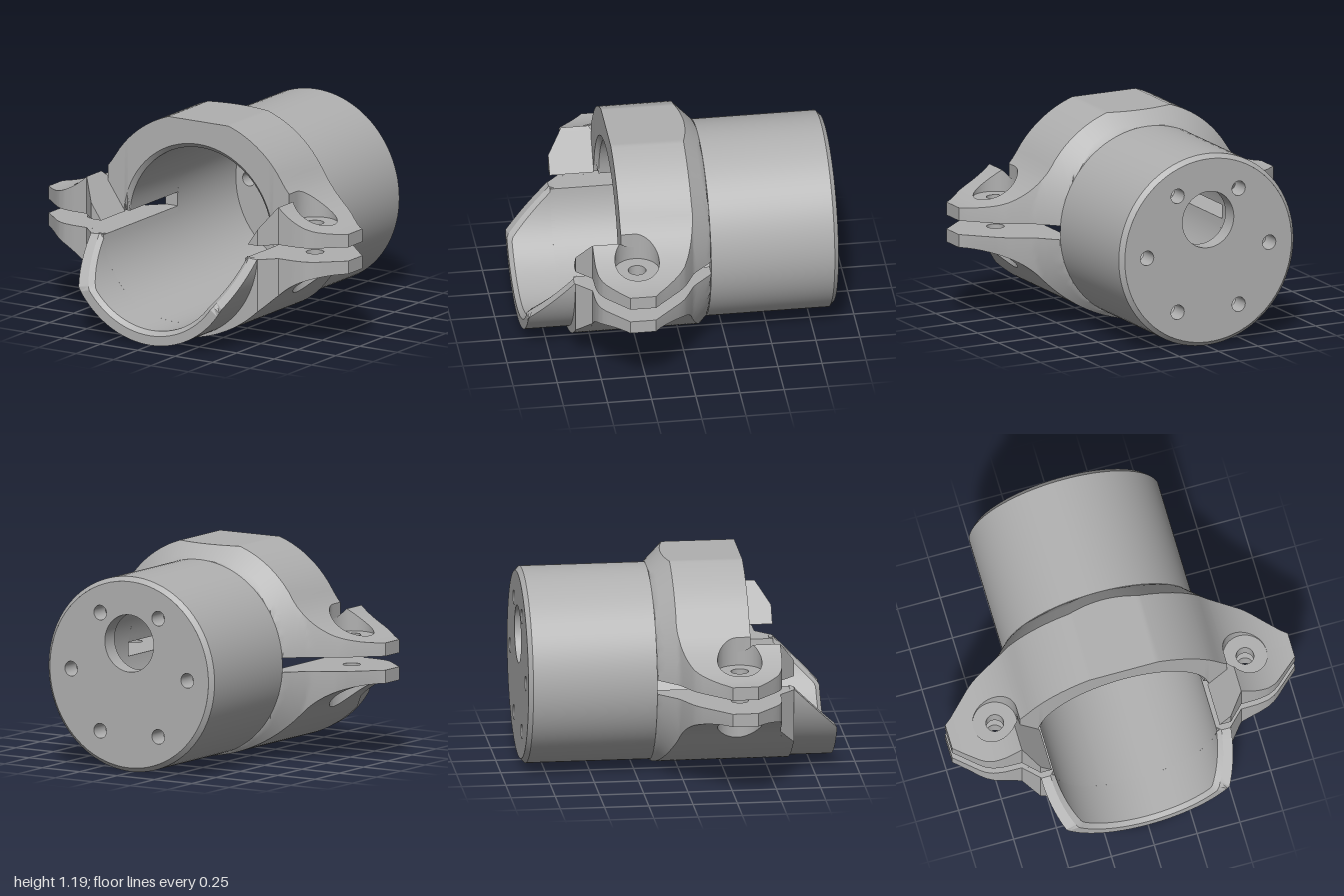
import * as THREE from 'three';
import { toCreasedNormals } from 'three/addons/utils/BufferGeometryUtils.js';

const CY = 0.557;                        // height of the bore axis
const R_OUT = 0.555, R_IN = 0.475, R_CH = 0.5;
const Z_RING = 0.37, Z_SCREW = 0.295, X_SCREW = 0.73, R_CB = 0.125;

const metal = new THREE.MeshStandardMaterial({ color: 0xb0b0b0, side: THREE.DoubleSide });
metal.name = 'grey metal';

// Smooth curved faces, sharp edges (scaled so that close vertices stay apart)
function crease(geo) {
  geo.scale(100, 100, 100);
  const g = toCreasedNormals(geo, 0.45);
  g.scale(0.01, 0.01, 0.01);
  return g;
}

// Solid skinned over equal-length closed cross-sections of [x, y, z]
function loft(sections) {
  const pos = [], n = sections[0].length;
  const tri = (a, b, c) => pos.push(...a, ...b, ...c);
  for (let i = 0; i < sections.length - 1; i++) {
    for (let j = 0; j < n; j++) {
      const k = (j + 1) % n, A = sections[i], B = sections[i + 1];
      tri(A[j], B[j], B[k]);
      tri(A[j], B[k], A[k]);
    }
  }
  const first = sections[0], last = sections[sections.length - 1];
  for (let j = 1; j < n - 1; j++) {
    tri(first[0], first[j], first[j + 1]);
    tri(last[0], last[j + 1], last[j]);
  }
  const g = new THREE.BufferGeometry();
  g.setAttribute('position', new THREE.Float32BufferAttribute(pos, 3));
  g.computeVertexNormals();
  return crease(g);
}

// Piecewise-linear lookup
function lerpTable(table, v) {
  if (v <= table[0][0]) return table[0][1];
  for (let i = 1; i < table.length; i++) {
    const [a, p] = table[i - 1], [b, q] = table[i];
    if (v <= b) return p + (q - p) * (v - a) / (b - a);
  }
  return table[table.length - 1][1];
}
const root = (v) => Math.sqrt(Math.max(0, v));

// Outer profiles: collar arc running into a concave ear arc
const topY = (x) => x < 0.555
  ? Math.min(1.19, 0.56 + root(0.661 ** 2 - x * x))
  : 1.205 - root(0.53 ** 2 - (1 - x) ** 2);
const bottomY = (x) => x < 0.606
  ? 0.816 - root(0.816 ** 2 - x * x)
  : -0.085 + root(0.53 ** 2 - (1 - x) ** 2);
// Ramp on the front blocks of the upper clamp
const rampY = (x) => Math.min(topY(x), 0.6 + 1.45 * (x - 0.49));
const boreTop = (x, r) => Math.max(0.6, CY + root(r * r - x * x));
const boreBottom = (x) => Math.min(0.52, CY - root(R_IN * R_IN - x * x));

// Plan outlines of the ears
const rearZ = (rho) => lerpTable([[R_OUT, -0.15], [0.67, -0.035], [0.75, 0.005],
  [0.8, 0.032], [0.84, 0.065], [1, 0.225]], rho);
const frontZ = (x) => lerpTable([[0.555, 0.62], [0.64, 0.535], [0.74, 0.533],
  [0.8, 0.524], [0.84, 0.507], [0.87, 0.486], [1, 0.37]], x);
const holeHalf = (x) => root(R_CB * R_CB - (x - X_SCREW) ** 2);

// Sample positions across one half
const half = [0.2, 0.49, 0.5, 0.53, 0.555, 0.58, 0.6049, 0.64, 0.87, 0.9, 0.93, 0.965, 1];
for (let i = 0; i <= 20; i++) half.push(R_IN * Math.sin((i / 20) * Math.PI / 2));
for (let i = 0; i <= 20; i++) half.push(X_SCREW - R_CB * Math.cos((i / 20) * Math.PI));
half.sort((a, b) => a - b);
const full = [...half.filter((x) => x > 0).map((x) => -x).reverse(), ...half];
const side = (from, s) => {
  const xs = half.filter((x) => x >= from - 1e-6);
  return s > 0 ? xs : xs.map((x) => -x).reverse();
};

// Section reaching back to the sloped rear of the collar
function rearSection(x, yLo, yHi, zFront, loRear = yLo) {
  const pts = [[x, yLo, zFront], [x, yHi, zFront]];
  for (let k = 0; k <= 10; k++) {
    const y = yHi + (loRear - yHi) * k / 10;
    pts.push([x, y, rearZ(Math.hypot(x, y - CY))]);
  }
  return pts;
}
const boxSection = (x, yLo, yHi, zF, zR) =>
  [[x, yLo, zF], [x, yHi, zF], [x, yHi, zR], [x, yLo, zR]];

function circle(shape, x, y, r) {
  const p = new THREE.Path();
  p.absarc(x, y, r, 0, Math.PI * 2, true);
  shape.holes.push(p);
}
function disc(r) {
  const s = new THREE.Shape();
  s.absarc(0, 0, r, 0, Math.PI * 2, false);
  return s;
}
const extrude = (shape, depth) => crease(
  new THREE.ExtrudeGeometry(shape, { depth, bevelEnabled: false, curveSegments: 40 }));

export function createModel() {
  const model = new THREE.Group();
  model.name = 'clampHousing';
  const add = (name, geo) => {
    const m = new THREE.Mesh(geo, metal);
    m.name = name;
    model.add(m);
    return m;
  };

  // Rear barrel with a small back chamfer
  const profile = [[0.53, -0.875], [R_OUT, -0.85], [R_OUT, -0.15], [R_IN, -0.15], [R_IN, -0.76]];
  const barrel = new THREE.LatheGeometry(profile.map((p) => new THREE.Vector2(...p)), 96);
  barrel.rotateX(Math.PI / 2);
  add('rearBarrel', crease(barrel)).position.y = CY;

  // Back plate with six bolt holes and an offset shaft hole, recessed inside
  for (const [name, z, depth, r] of [['backPlate', -0.875, 0.1, 0.163], ['backPlateRecess', -0.775, 0.02, 0.185]]) {
    const plate = disc(z < -0.8 ? 0.53 : 0.52);
    circle(plate, 0, 0.178, r);
    for (let i = 0; i < 6; i++) {
      const a = i * Math.PI / 3;
      circle(plate, 0.388 * Math.cos(a), 0.388 * Math.sin(a), 0.042);
    }
    add(name, extrude(plate, depth)).position.set(0, CY, z);
  }

  // Upper clamp: arched collar with ears and a chamfered bore mouth
  add('upperClamp', loft(full.map((x) => {
    const a = Math.abs(x);
    const zF = a < 0.605 - 1e-6 ? Z_RING : Z_SCREW - holeHalf(a);
    const inner = boreTop(a, R_IN);
    const pts = rearSection(x, boreTop(a, R_CH), topY(a), zF, inner);
    pts.push([x, inner, zF - 0.025]);
    return pts;
  })));

  // Lower clamp: cradle with matching ears
  add('lowerClamp', loft(full.map((x) => {
    const a = Math.abs(x);
    const zF = a < 0.605 - 1e-6 ? frontZ(a) : Z_SCREW - holeHalf(a);
    return rearSection(x, bottomY(a), boreBottom(a), zF);
  })));

  for (const s of [-1, 1]) {
    const tag = s > 0 ? 'left' : 'right';

    // Front of each ear, ahead of the screw
    add(tag + 'UpperEarFront', loft(side(0.49, s).map((x) => {
      const a = Math.abs(x);
      const zR = a < 0.605 - 1e-6 ? Z_RING : Z_SCREW + holeHalf(a);
      return boxSection(x, 0.6, rampY(a), frontZ(a), zR);
    })));
    add(tag + 'LowerEarFront', loft(side(0.605, s).map((x) => {
      const a = Math.abs(x);
      return boxSection(x, bottomY(a), 0.52, frontZ(a), Z_SCREW + holeHalf(a));
    })));

    // Counterbore seats with the screw hole
    for (const [name, y] of [['UpperScrewSeat', 0.69], ['LowerScrewSeat', 0.52]]) {
      const seat = disc(R_CB);
      circle(seat, 0, 0, 0.05);
      const g = extrude(seat, 0.09);
      g.rotateX(Math.PI / 2);
      add(tag + name, g).position.set(s * X_SCREW, y, Z_SCREW);
    }
  }

  // Front tongue: lower trough with sloped shoulders and a chamfered lip
  const tongue = [];
  const start = Math.asin((CY - 0.52) / R_OUT);
  for (let i = 0; i <= 64; i++) {
    const t = Math.PI + start + (Math.PI - 2 * start) * i / 64;
    const pt = (r, z) => [r * Math.cos(t), CY + r * Math.sin(t), z];
    const end = (r) => 0.875 - Math.min(0.25, Math.max(0, CY + r * Math.sin(t) - 0.27));
    tongue.push([pt(R_OUT, end(R_OUT)), pt(R_CH, end(R_CH)),
      pt(R_IN, Math.max(0.6, end(R_IN) - 0.025)), pt(R_IN, 0.6), pt(R_OUT, 0.6)]);
  }
  add('frontTongue', loft(tongue));

  return model;
}
